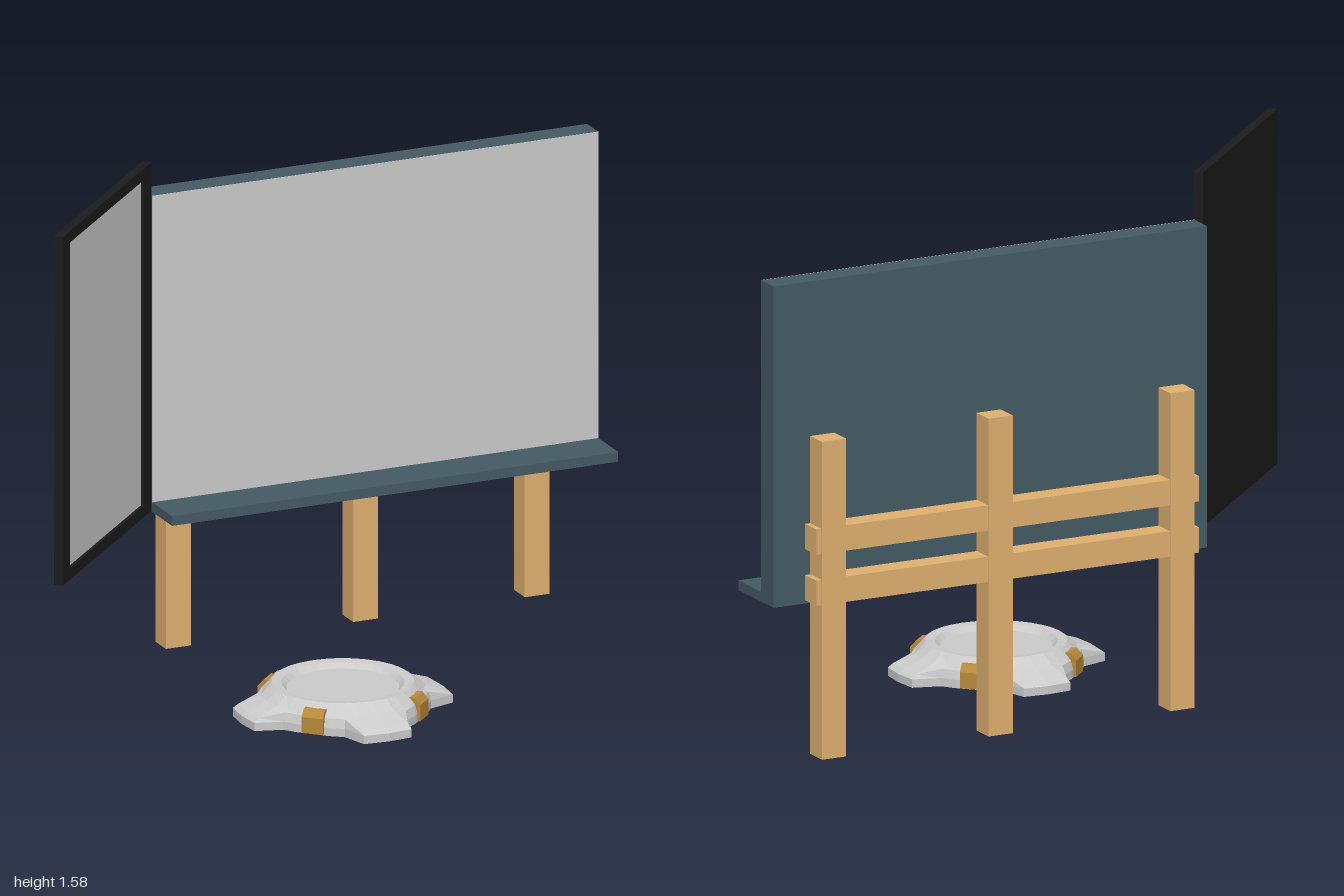
import * as THREE from 'three';

const mat = (color) => new THREE.MeshStandardMaterial({ color, flatShading: true });
const GREY = mat(0xcccccc), SLATE = mat(0x455a64), BLACK = mat(0x1c1c1c);
const WOOD = mat(0xe0b070), AMBER = mat(0xb98a3c);

// Box given by its minimum and maximum corners
function block(parent, name, material, min, max) {
  const size = max.map((v, i) => v - min[i]);
  const mesh = new THREE.Mesh(new THREE.BoxGeometry(...size), material);
  mesh.position.set(...max.map((v, i) => (v + min[i]) / 2));
  mesh.name = name;
  parent.add(mesh);
  return mesh;
}

// Rectangular frame in the XY plane, depth along +z
function frameGeometry(w, h, bx, by, depth) {
  const rect = (Shape, a, b) => new Shape().moveTo(-a, -b).lineTo(a, -b).lineTo(a, b).lineTo(-a, b).closePath();
  const shape = rect(THREE.Shape, w / 2, h / 2);
  shape.holes.push(rect(THREE.Path, w / 2 - bx, h / 2 - by));
  return new THREE.ExtrudeGeometry(shape, { depth, bevelEnabled: false });
}

function createBoard() {
  const g = new THREE.Group();
  g.name = 'displayBoard';
  block(g, 'boardBody', SLATE, [-0.43, 0.5, -0.455], [1, 1.453, -0.377]);
  block(g, 'boardScreen', GREY, [-0.43, 0.505, -0.377], [1, 1.453, -0.375]);
  // Shelf with a shallow recess underneath
  block(g, 'shelfTop', SLATE, [-0.43, 0.495, -0.455], [1, 0.51, -0.235]);
  const rim = new THREE.Mesh(frameGeometry(1.43, 0.22, 0.02, 0.02, 0.015), SLATE);
  rim.rotation.x = -Math.PI / 2;
  rim.position.set(0.285, 0.48, -0.345);
  rim.name = 'shelfRim';
  g.add(rim);
  block(g, 'shelfStrip', GREY, [-0.38, 0.491, -0.4], [0.95, 0.496, -0.378]);
  return g;
}

function createSupport() {
  const g = new THREE.Group();
  g.name = 'woodenSupport';
  for (const x of [-0.31, 0.29, 0.84])
    block(g, 'post', WOOD, [x - 0.04, 0.023, -0.53], [x + 0.04, 0.985, -0.455]);
  for (const y of [0.49, 0.645])
    block(g, 'crossbar', WOOD, [-0.365, y, -0.527], [0.897, y + 0.077, -0.457]);
  return g;
}

// Framed panel turned 45 degrees beside the board
function createPanel() {
  const g = new THREE.Group();
  g.name = 'sidePanel';
  const w = 0.735, h = 1.073, t = 0.028;
  const frame = new THREE.Mesh(frameGeometry(w, h, 0.06, 0.035, t), BLACK);
  frame.position.z = -t / 2;
  frame.name = 'panelFrame';
  g.add(frame);
  block(g, 'panelBack', BLACK, [-w / 2 + 0.03, -h / 2 + 0.02, -t / 2], [w / 2 - 0.03, h / 2 - 0.02, 0]);
  block(g, 'panelScreen', GREY, [-w / 2 + 0.055, -h / 2 + 0.03, 0], [w / 2 - 0.055, h / 2 - 0.03, 0.004]);
  g.position.set(-0.73, 1.0425, -0.065);
  g.rotation.y = Math.PI / 4;
  return g;
}

// Four-lobed base pad built from closed rings, centre top to centre underside
function padGeometry() {
  const outline = []; // [angle, radius, is lobe]
  for (let q = 0; q < 4; q++)
    for (const [a, r, lobe] of [[-13.5, 0.327, 1], [0, 0.325, 1], [13.5, 0.327, 1], [23, 0.257, 0],
      [34, 0.25, 0], [45, 0.245, 0], [56, 0.25, 0], [67, 0.257, 0]])
      outline.push([THREE.MathUtils.degToRad(a + q * 90), r, lobe]);
  const circle = (r, y) => () => [r, y];
  const rings = [
    circle(0, 0.07), circle(0.165, 0.07), circle(0.18, 0.085), circle(0.208, 0.088),
    (r, lobe) => [lobe ? 0.245 : 0.235, 0.06],
    (r, lobe) => [r * (lobe ? 0.95 : 0.97), lobe ? 0.037 : 0.052],
    (r) => [r, 0.025], (r) => [r, 0], (r) => [r * 0.9, 0],
    circle(0.205, 0.035), circle(0.18, 0.055), circle(0, 0.055),
  ];
  const n = outline.length, pos = [], index = [];
  rings.forEach((ring, j) => outline.forEach(([a, r, lobe], i) => {
    const [rad, y] = ring(r, lobe);
    pos.push(rad * Math.cos(a), y, -rad * Math.sin(a));
    if (j === rings.length - 1) return;
    const p = j * n + i, q = j * n + (i + 1) % n;
    index.push(p, p + n, q + n, p, q + n, q);
  }));
  const geo = new THREE.BufferGeometry();
  geo.setAttribute('position', new THREE.Float32BufferAttribute(pos, 3));
  geo.setIndex(index);
  geo.computeVertexNormals();
  return geo;
}

function createPad() {
  const g = new THREE.Group();
  g.name = 'basePad';
  const body = new THREE.Mesh(padGeometry(), GREY);
  body.name = 'padBody';
  g.add(body);
  // Amber clips on the diagonals between the lobes
  const profile = new THREE.Shape([[0.2, 0.003], [0.254, 0.003], [0.254, 0.052], [0.236, 0.073], [0.2, 0.073]]
    .map(([x, y]) => new THREE.Vector2(x, y)));
  const clipGeo = new THREE.ExtrudeGeometry(profile, { depth: 0.066, bevelEnabled: false });
  clipGeo.translate(0, 0, -0.033);
  for (let i = 0; i < 4; i++) {
    const clip = new THREE.Mesh(clipGeo, AMBER);
    clip.rotation.y = Math.PI / 4 + i * Math.PI / 2;
    clip.name = 'padClip';
    g.add(clip);
  }
  g.position.set(-0.08, 0, 0.2);
  return g;
}

export function createModel() {
  const model = new THREE.Group();
  model.name = 'boardStation';
  model.add(createBoard(), createSupport(), createPanel(), createPad());
  return model;
}
